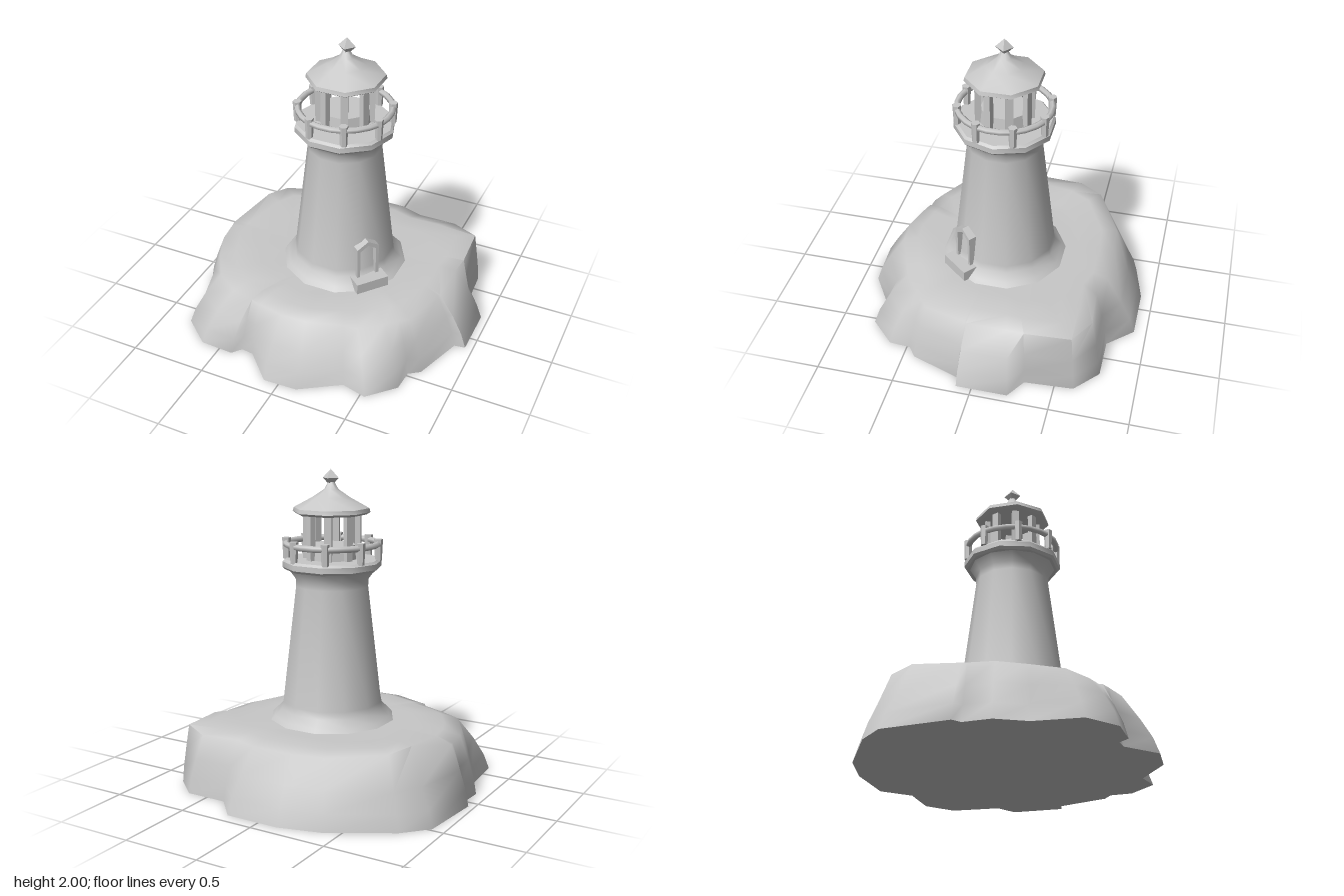
import * as THREE from 'three';
import { toCreasedNormals } from 'three/addons/utils/BufferGeometryUtils.js';

const stone = new THREE.MeshStandardMaterial({ color: 0xc8c8c8 });
stone.name = 'pale grey';

function add(parent, name, geometry, x = 0, y = 0, z = 0, crease = 0.7) {
  const mesh = new THREE.Mesh(toCreasedNormals(geometry, crease), stone);
  mesh.name = name;
  mesh.position.set(x, y, z);
  parent.add(mesh);
  return mesh;
}

function lathe(points, sides) {
  return new THREE.LatheGeometry(points.map(([r, y]) => new THREE.Vector2(r, y)), sides, Math.PI / sides);
}

// Shore outline: x, z, how far out the shoulder stays, shoulder height
const shore = [
  [-0.13, -0.92, 0.78, 0.38], [0.22, -0.92, 0.78, 0.38], [0.37, -0.76, 0.88, 0.38],
  [0.64, -0.76, 0.9, 0.37], [0.8, -0.62, 0.95, 0.385], [0.82, -0.31, 0.95, 0.385],
  [0.95, -0.23, 0.8, 0.37], [0.95, 0.1, 0.79, 0.36], [0.88, 0.11, 0.84, 0.36],
  [0.77, 0.43, 0.86, 0.35], [0.7, 0.48, 0.86, 0.35], [0.69, 0.62, 0.76, 0.34],
  [0.53, 0.78, 0.74, 0.34], [0.37, 0.74, 0.82, 0.36], [0.12, 0.9, 0.77, 0.38],
  [-0.1, 0.91, 0.77, 0.38], [-0.28, 0.73, 0.9, 0.37], [-0.36, 0.72, 0.88, 0.37],
  [-0.41, 0.78, 0.8, 0.36], [-0.63, 0.77, 0.76, 0.35], [-0.81, 0.62, 0.78, 0.36],
  [-0.83, 0.33, 0.9, 0.36], [-0.92, 0.15, 0.88, 0.37], [-0.91, -0.02, 0.91, 0.37],
  [-0.96, -0.06, 0.87, 0.37], [-0.92, -0.48, 0.79, 0.44], [-0.78, -0.63, 0.84, 0.42],
  [-0.4, -0.85, 0.82, 0.39],
];

function islandGeometry() {
  const n = shore.length, pos = [], index = [];
  // Rings climb from the waterline over the shoulder to the flat top
  const rings = [
    () => [1, 0], (f) => [1 - 0.17 * (1 - f), 0.1], (f) => [1 - 0.5 * (1 - f), 0.22],
    (f, h) => [f, h], (f, h) => [f * 0.86, (h + 0.43) / 2], (f) => [f * 0.66, 0.405], (f) => [0.42, 0.405],
  ];
  for (const ring of rings) for (const [x, z, f, h] of shore) {
    const [k, y] = ring(f, h);
    pos.push(x * k, y, z * k);
  }
  const top = rings.length * n, bottom = top + 1;
  pos.push(0, 0.41, 0, 0, 0, 0);
  for (let j = 0; j < n; j++) {
    const j2 = (j + 1) % n, last = (rings.length - 1) * n;
    for (let i = 0; i < rings.length - 1; i++) {
      const a = i * n + j, b = i * n + j2;
      index.push(a, a + n, b, b, a + n, b + n);
    }
    index.push(last + j, top, last + j2, j, j2, bottom);
  }
  const g = new THREE.BufferGeometry();
  g.setAttribute('position', new THREE.Float32BufferAttribute(pos, 3));
  g.setIndex(index);
  return g;
}

// Gabled outline used for the door surround and its opening
function gable(Type, w, y0, eave, peak) {
  const s = new Type();
  s.moveTo(-w, y0);
  s.lineTo(w, y0);
  s.lineTo(w, eave);
  s.lineTo(0, peak);
  s.lineTo(-w, eave);
  s.closePath();
  return s;
}

export function createModel() {
  const model = new THREE.Group();
  model.name = 'lighthouse';
  add(model, 'rockIsland', islandGeometry(), 0, 0, 0, 1.2);

  const tower = new THREE.Group();
  tower.name = 'tower';
  tower.position.set(0.042, 0, 0);
  model.add(tower);

  // Tapered wall with a foot and a flared corbel
  add(tower, 'towerWall', lathe([
    [0, 0.38], [0.42, 0.39], [0.38, 0.43], [0.335, 0.475], [0.325, 0.52], [0.235, 1.27], [0.237, 1.32], [0.28, 1.38], [0, 1.38],
  ], 12), 0, 0, 0, 1.0);
  add(tower, 'galleryDeck', lathe([
    [0, 1.375], [0.3, 1.375], [0.315, 1.39], [0.315, 1.425], [0.3, 1.44], [0, 1.44],
  ], 10));

  // Gallery railing
  const corners = [];
  for (let i = 0; i < 8; i++) {
    const a = (i + 0.5) * Math.PI / 4, x = Math.sin(a) * 0.293, z = Math.cos(a) * 0.293;
    corners.push(new THREE.Vector3(x, 1.535, z));
    add(tower, 'railPost', new THREE.CylinderGeometry(0.028, 0.022, 0.135, 6), x, 1.5, z);
  }
  const railPath = new THREE.CatmullRomCurve3(corners, true);
  add(tower, 'handrail', new THREE.TubeGeometry(railPath, 24, 0.02, 6, true), 0, 0, 0, 1.2);

  // Open lantern room
  add(tower, 'lanternBase', lathe([[0, 1.43], [0.165, 1.43], [0.155, 1.53], [0, 1.53]], 8));
  for (let i = 0; i < 8; i++) {
    const a = (i + 0.5) * Math.PI / 4;
    const post = add(tower, 'lanternPost', new THREE.BoxGeometry(0.045, 0.3, 0.035),
      Math.sin(a) * 0.165, 1.585, Math.cos(a) * 0.165);
    post.rotation.y = a;
  }

  // Roof and finial
  add(tower, 'roof', lathe([
    [0, 1.72], [0.222, 1.72], [0.246, 1.735], [0.24, 1.76], [0.12, 1.825], [0.045, 1.875], [0.02, 1.92], [0, 1.92],
  ], 8), 0.006, 0, 0, 0.8);
  const finial = add(tower, 'finial', new THREE.OctahedronGeometry(0.055), 0.01, 1.945, 0, 0.2);
  finial.rotation.y = 0.1;

  // Doorway on the front left of the tower
  const door = new THREE.Group();
  door.name = 'doorway';
  door.rotation.y = Math.atan2(0.77, 0.64);
  tower.add(door);
  const surround = gable(THREE.Shape, 0.075, 0.46, 0.69, 0.735);
  surround.holes.push(gable(THREE.Path, 0.055, 0.475, 0.67, 0.705));
  add(door, 'doorSurround', new THREE.ExtrudeGeometry(surround, { depth: 0.1, bevelEnabled: false }), 0, 0, 0.24, 0.3);
  add(door, 'doorStep', new THREE.BoxGeometry(0.22, 0.09, 0.17), 0, 0.43, 0.325, 0.3);
  return model;
}
